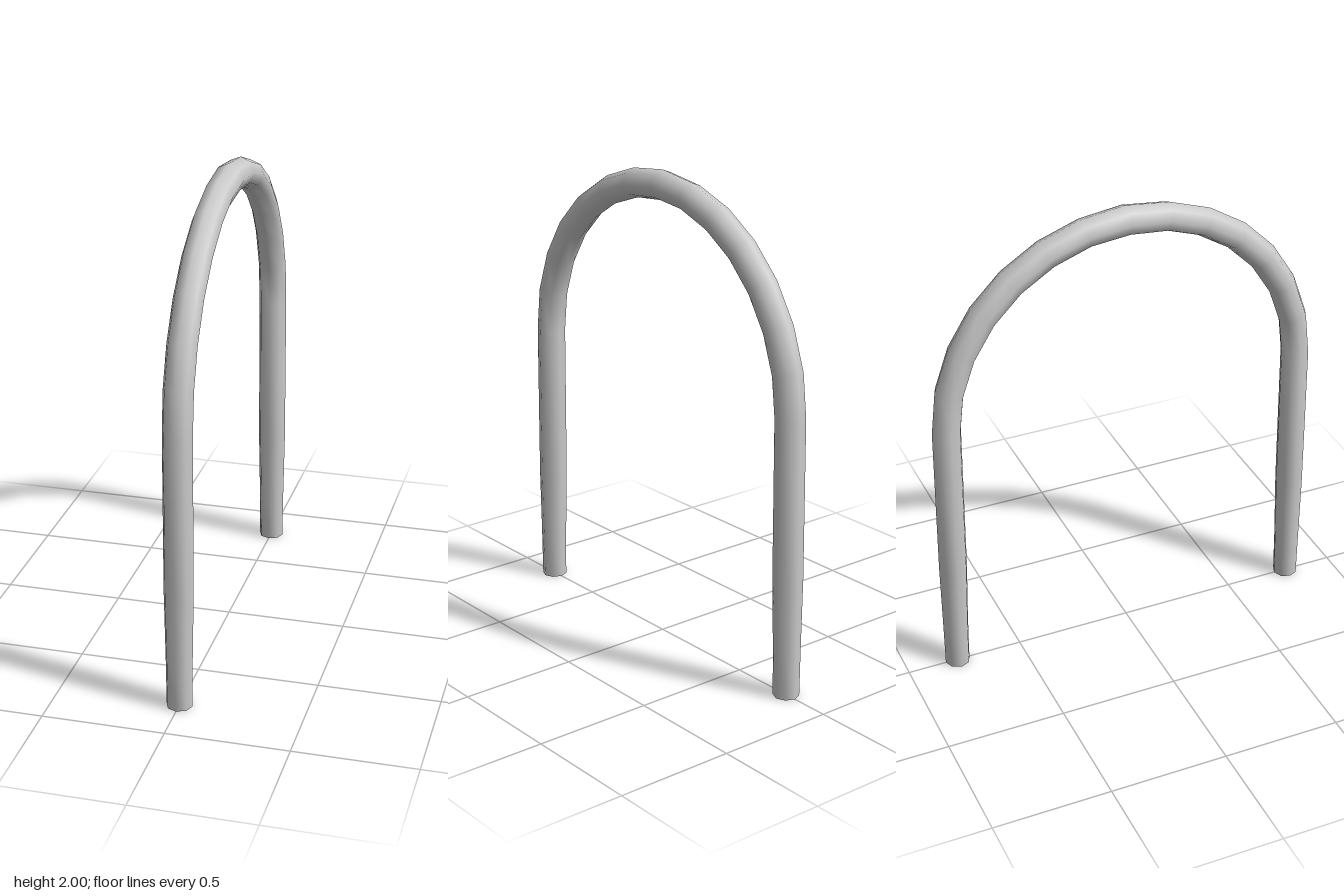
import * as THREE from 'three';

const SIDES = 8;
const ARC_STEPS = 14;
const ARC_Y = 1.164; // height where the legs meet the arch

// Leg stations from the ground up: [y, z, radius]
const LEG = [[0, 0.783, 0.053], [0.2, 0.782, 0.055], [0.5, 0.779, 0.0605]];

// Rings along the tube, from the front foot over the arch to the back foot
function stations() {
  const rings = LEG.map(([y, z, r]) => ({ y, z, r, a: 0 }));
  for (let i = 0; i <= ARC_STEPS; i++) {
    const a = (i / ARC_STEPS) * Math.PI;
    const r = i === ARC_STEPS / 2 ? 0.0625 : 0.0605;
    rings.push({ y: ARC_Y + 0.7735 * Math.sin(a), z: 0.7735 * Math.cos(a), r, a });
  }
  for (const [y, z, r] of [...LEG].reverse()) rings.push({ y, z: -z, r, a: Math.PI });
  return rings;
}

// Open eight-sided tube swept through the rings
function sweep(rings) {
  const pos = [], index = [];
  rings.forEach(({ y, z, r, a }, i) => {
    for (let k = 0; k < SIDES; k++) {
      const t = (k / SIDES) * Math.PI * 2;
      const out = r * Math.cos(t);
      pos.push(r * Math.sin(t), y + out * Math.sin(a), z + out * Math.cos(a));
      if (i === rings.length - 1) continue;
      const p = i * SIDES + k, q = i * SIDES + ((k + 1) % SIDES);
      index.push(p, q, p + SIDES, q, q + SIDES, p + SIDES);
    }
  });
  const geo = new THREE.BufferGeometry();
  geo.setAttribute('position', new THREE.Float32BufferAttribute(pos, 3));
  geo.setIndex(index);
  geo.computeVertexNormals();
  return geo;
}

export function createModel() {
  const group = new THREE.Group();
  group.name = 'hoop';
  const material = new THREE.MeshStandardMaterial({ color: 0xcccccc, side: THREE.DoubleSide });
  const tube = new THREE.Mesh(sweep(stations()), material);
  tube.name = 'archTube';
  group.add(tube);
  return group;
}
